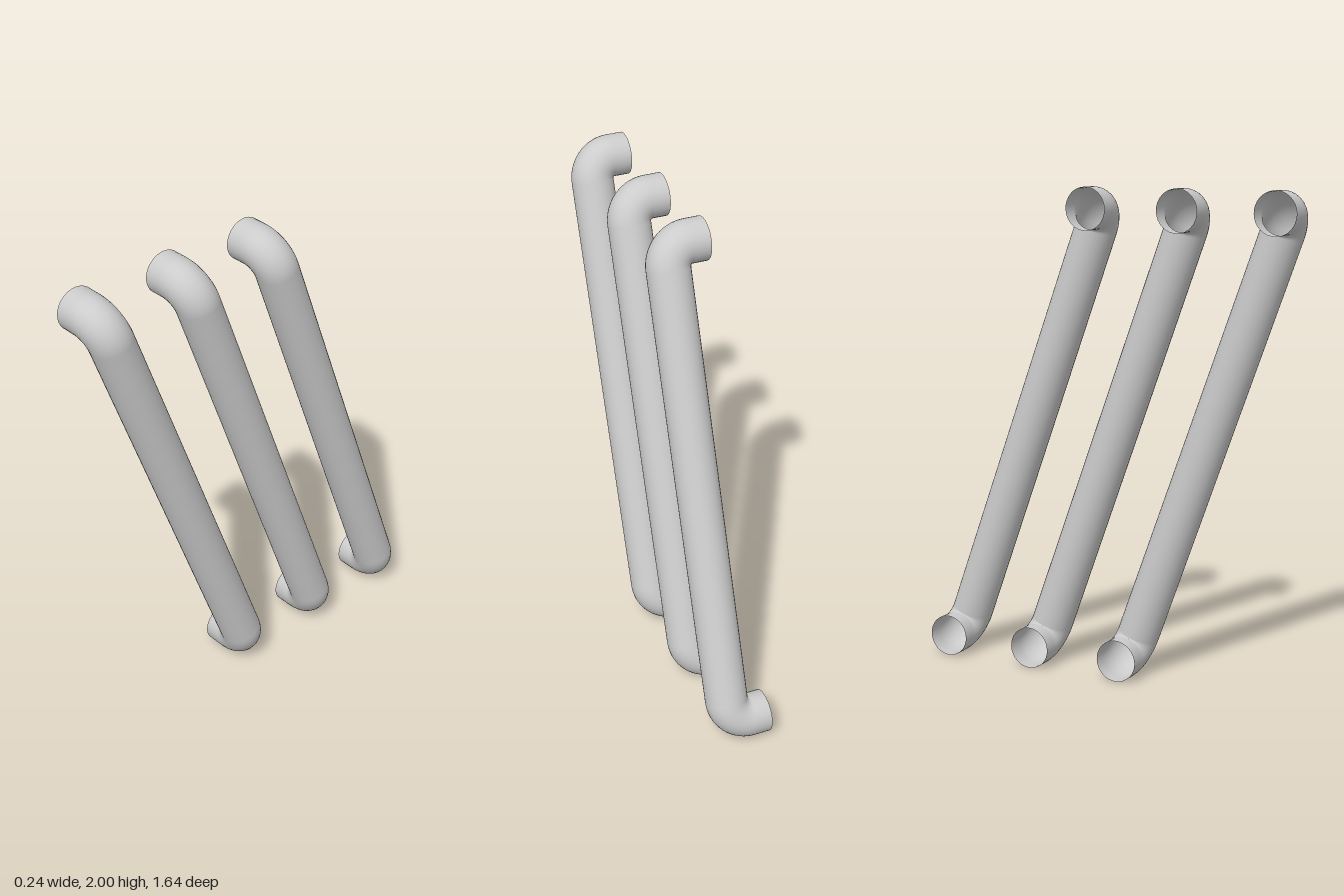
import * as THREE from 'three';

const R = 0.086;       // tube radius
const BEND = 0.09;     // centreline radius of the elbows
const HALF = 0.972;    // half distance between the two stubs, along the bar
const BAR_X = 0.031;   // axis of the long run
const END_X = -0.122;  // open ends of the stubs
const TILT = THREE.MathUtils.degToRad(20);
const SIDES = 32;

export function createModel() {
  const model = new THREE.Group();
  model.name = 'slantedBars';
  const mat = new THREE.MeshStandardMaterial({ color: 0xcccccc, side: THREE.DoubleSide });

  const add = (parent, name, geometry) => {
    const mesh = new THREE.Mesh(geometry, mat);
    mesh.name = name;
    parent.add(mesh);
    return mesh;
  };

  const bendX = BAR_X - BEND;
  const runGeo = new THREE.CylinderGeometry(R, R, 2 * (HALF - BEND), SIDES, 1, true);
  const elbowGeo = new THREE.TorusGeometry(BEND, R, SIDES, 16, Math.PI / 2);
  const stubGeo = new THREE.CylinderGeometry(R, R, bendX - END_X, SIDES, 1, true).rotateZ(Math.PI / 2);

  // three parallel bars, each a straight run with an elbow and stub at both ends
  [0.4, -0.005, -0.4].forEach((z, i) => {
    const bar = new THREE.Group();
    bar.name = `bar${i + 1}`;
    add(bar, 'straightRun', runGeo).position.x = BAR_X;

    for (const [end, s] of [['upper', 1], ['lower', -1]]) {
      const elbow = add(bar, `${end}Elbow`, elbowGeo);
      elbow.position.set(bendX, s * (HALF - BEND), 0);
      if (s < 0) elbow.rotation.z = -Math.PI / 2;
      add(bar, `${end}Stub`, stubGeo).position.set((bendX + END_X) / 2, s * HALF, 0);
    }

    bar.rotation.x = TILT;
    bar.position.set(0, 1, z);
    model.add(bar);
  });
  return model;
}
